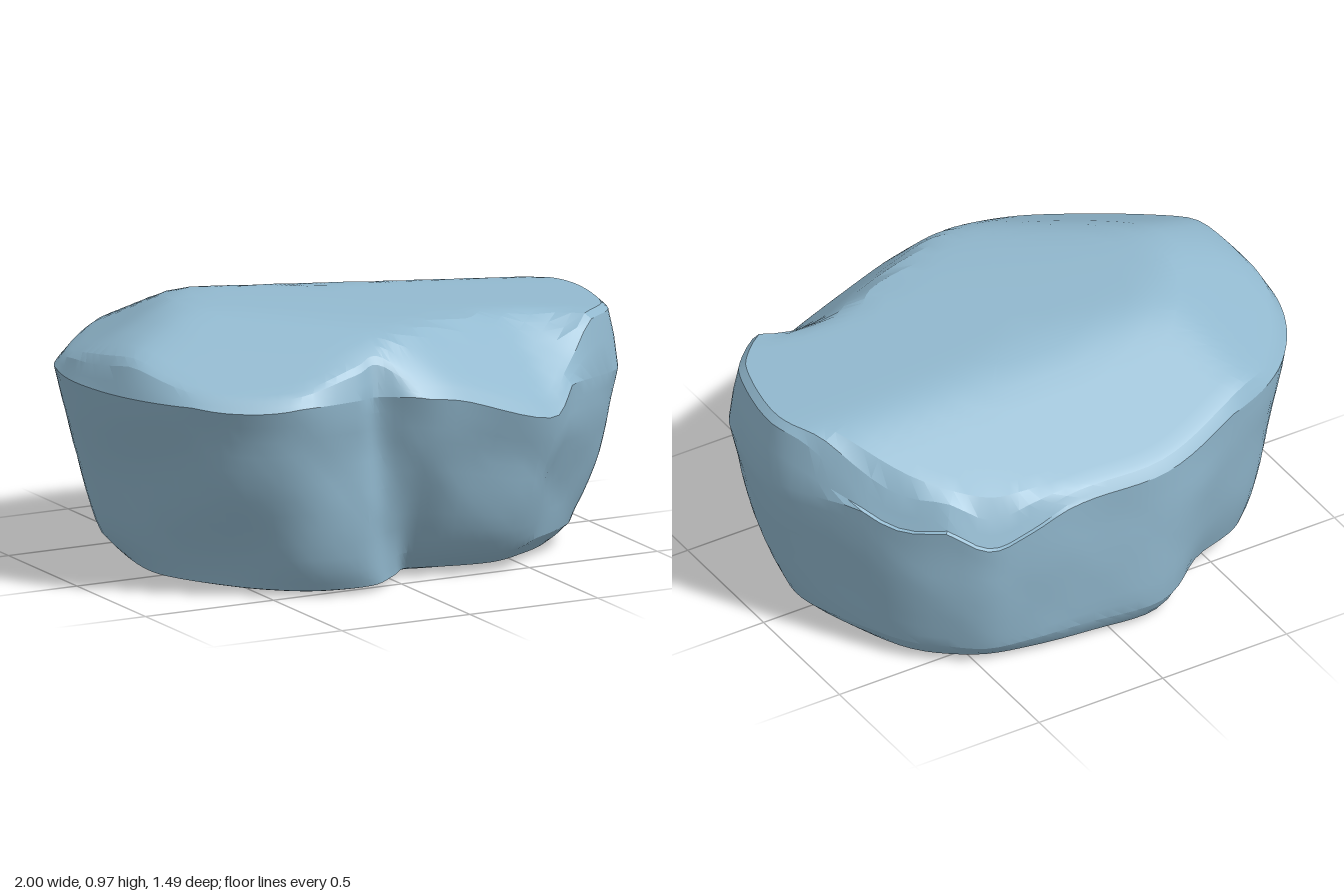
import * as THREE from 'three';
import { toCreasedNormals } from 'three/addons/utils/BufferGeometryUtils.js';

// Outline stations: rim x, rim z, base x, base z, wall curve (1 = straight slant, small = bulging)
const STATIONS = [
  [-1, 0, -0.71, 0.02, 0.95], [-0.97, -0.2, -0.69, -0.14, 0.75], [-0.88, -0.38, -0.64, -0.26, 0.45],
  [-0.7, -0.56, -0.54, -0.38, 0.32], [-0.45, -0.67, -0.34, -0.46, 0.32], [-0.18, -0.74, -0.18, -0.63, 0.2],
  [0.1, -0.72, 0.06, -0.63, 0.25], [0.35, -0.7, 0.28, -0.6, 0.3], [0.54, -0.65, 0.48, -0.54, 0.32],
  [0.75, -0.47, 0.64, -0.41, 0.35], [0.92, -0.2, 0.73, -0.19, 0.35], [1, 0, 0.75, 0, 0.35],
  [0.96, 0.27, 0.7, 0.17, 0.4], [0.88, 0.4, 0.64, 0.27, 0.45], [0.65, 0.57, 0.53, 0.35, 0.48],
  [0.47, 0.71, 0.38, 0.4, 0.5], [0.14, 0.74, 0.2, 0.39, 0.6], [-0.05, 0.74, 0.08, 0.37, 0.75],
  [-0.18, 0.67, 0, 0.45, 0.65], [-0.28, 0.69, -0.13, 0.54, 0.5], [-0.5, 0.7, -0.34, 0.52, 0.75],
  [-0.7, 0.61, -0.5, 0.41, 1], [-0.85, 0.47, -0.61, 0.27, 1.1], [-0.96, 0.25, -0.68, 0.14, 1.05],
];

// Top of the boulder: a softened minimum of several sloping planes
function topHeight(x, z) {
  const planes = [
    0.927 - 0.08 * x, // crown
    1.03 - 0.1 * x + 0.5 * z, // back
    1.27 + 0.45 * x, // left
    1.96 + 1.2 * x, // left edge
    1.01 - 0.17 * z, // front
    1.62 - 1.2 * z, // front edge
    0.885 - 0.6 * (0.85 * z - 0.5 * x - 0.61), // front left shoulder
    0.73 - 0.6 * (-0.8 * x - 0.6 * z - 0.93), // back left shoulder
    0.69 - 2.5 * (0.3 * x - 0.954 * z - 0.713), // back chamfer
    0.88 + 0.35 * z - 2.5 * (0.796 * x - 0.605 * z - 0.816), // back right chamfer
    // broken front right corner
    0.83 - 0.88 * (z - 0.43) + 0.4 * Math.max(0, 0.5 - x) + 0.6 * Math.max(0, x - 0.65),
  ];
  const soft = 0.017;
  return -soft * Math.log(planes.reduce((sum, p) => sum + Math.exp(-p / soft), 0));
}

// Piecewise linear waves give chipped, flat facets
const tri = (v) => 4 * Math.abs(v - Math.floor(v) - 0.5) - 1;
function chips(x, y, z) {
  return (tri(1.3 * x + 1.1 * y + 0.4 * z + 0.2)
    + 0.8 * tri(1.7 * x - 1.5 * y + 0.3 * z + 0.55)
    + 0.5 * tri(0.6 * x + 2.4 * y - 1.2 * z + 0.1)) / 2.3;
}

function boulderGeometry() {
  const columns = 120;
  const wallSteps = [0.03, 0.07, 0.13, 0.2, 0.28, 0.36, 0.44, 0.52, 0.6, 0.68, 0.76, 0.84, 0.92, 1];
  const topScales = [0.985, 0.965, 0.94, 0.89, 0.83, 0.76, 0.69, 0.61, 0.52, 0.42, 0.3, 0.15, 0];
  const loop = (pick) => new THREE.CatmullRomCurve3(STATIONS.map(pick), true, 'catmullrom', 0.5);
  const rimCurve = loop((s) => new THREE.Vector3(s[0], s[4], s[1]));
  const baseCurve = loop((s) => new THREE.Vector3(s[2], 0, s[3]));

  const grid = [];
  for (let i = 0; i < columns; i++) {
    const rim = rimCurve.getPoint(i / columns);
    const base = baseCurve.getPoint(i / columns);
    const column = [];
    // underside
    for (const k of [0, 0.5, 0.93]) column.push([base.x * k, 0.008 * k, base.z * k]);
    // wall
    const wide = Math.min(0.72 - 0.1 * Math.max(0, rim.x), topHeight(rim.x * 0.97, rim.z * 0.97) - 0.04);
    for (const s of wallSteps) {
      const f = Math.pow(s, rim.y) * Math.min(1, 0.4 + 6 * s);
      const y = s * wide;
      const x = base.x + (rim.x - base.x) * f;
      const z = base.z + (rim.z - base.z) * f;
      const fade = Math.min(1, 5 * s) * Math.min(1, 4 * (1 - s));
      const depth = 0.012 + 0.022 * Math.min(1, Math.max(0, z * 2));
      const k = 1 + chips(x, y, z) * depth * fade;
      column.push([x * k, y, z * k]);
    }
    // top
    for (const k of topScales) {
      const x = rim.x * k, z = rim.z * k;
      const y = topHeight(x, z);
      // rounded lip between wall and top
      const lip = Math.max(0, (k - 0.95) / 0.05);
      column.push([x, y + (wide - y) * lip * lip, z]);
    }
    grid.push(column);
  }

  // stitch neighbouring columns, skipping collapsed triangles at the two centres
  const positions = [];
  const rows = grid[0].length;
  for (let i = 0; i < columns; i++) {
    const p = grid[i], q = grid[(i + 1) % columns];
    for (let j = 0; j < rows - 1; j++) {
      if (j < rows - 2) positions.push(...p[j], ...p[j + 1], ...q[j + 1]);
      if (j > 0) positions.push(...p[j], ...q[j + 1], ...q[j]);
    }
  }
  const geometry = new THREE.BufferGeometry();
  geometry.setAttribute('position', new THREE.Float32BufferAttribute(positions, 3));
  return toCreasedNormals(geometry, 0.3);
}

export function createModel() {
  const stone = new THREE.MeshStandardMaterial({ color: 0x92b9cf });
  stone.name = 'blueGreyStone';
  const boulder = new THREE.Mesh(boulderGeometry(), stone);
  boulder.name = 'boulder';
  const group = new THREE.Group();
  group.name = 'rock';
  group.add(boulder);
  return group;
}
